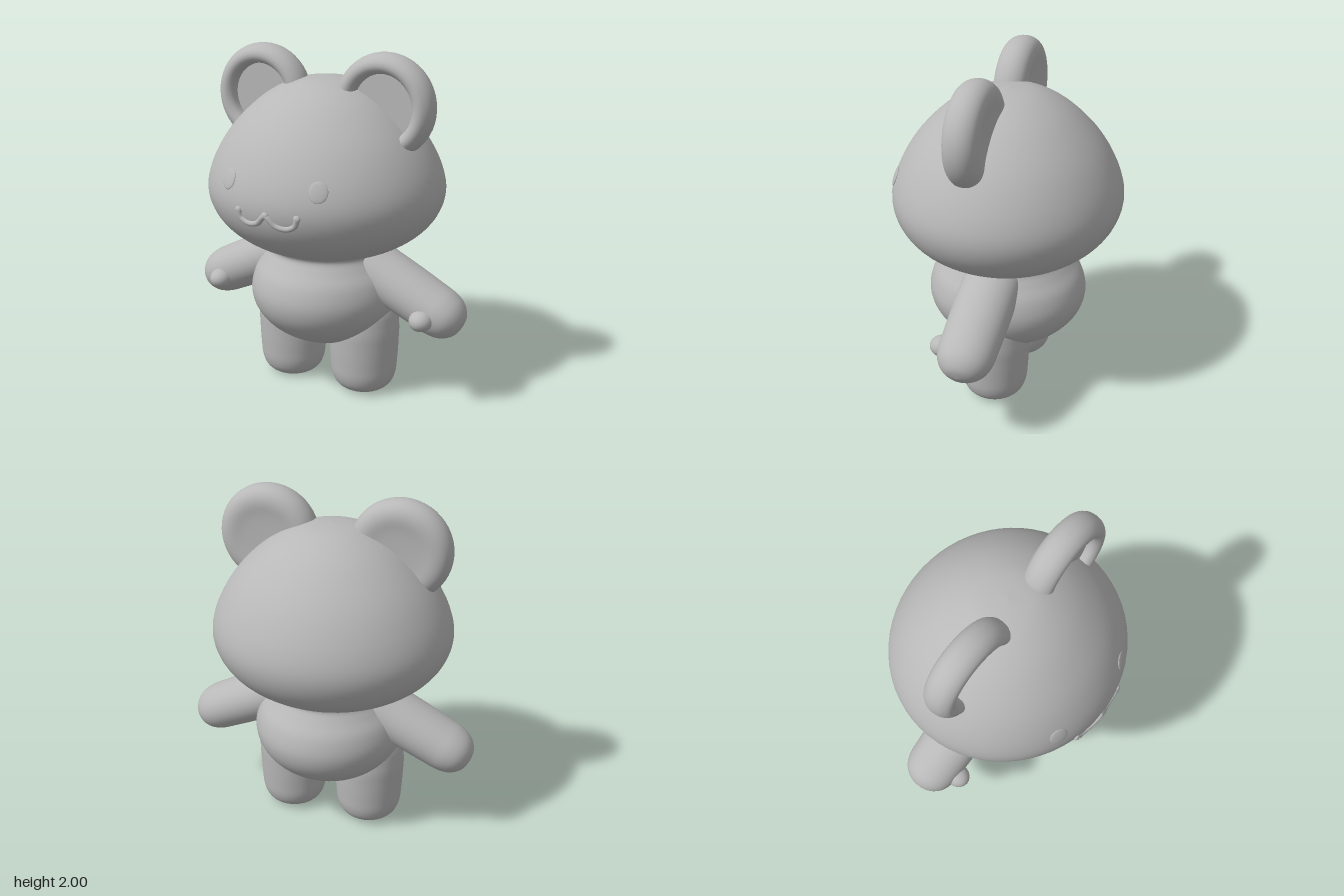
import * as THREE from 'three';

const grey = new THREE.MeshStandardMaterial({ color: 0xb8b8b8 });
grey.name = 'plain grey';

const HEAD_X = -0.01;   // head sits a touch off centre
const HEAD_SX = 1.05;   // head is slightly wider than deep

const spline = (pts) => new THREE.SplineCurve(pts.map(([r, y]) => new THREE.Vector2(r, y)));

// Smooth surface of revolution through a few [radius, height] points, listed bottom to top
function lathe(name, pts, rows = 40, segments = 48) {
  const profile = spline(pts).getPoints(rows);
  profile.forEach((p) => { p.x = Math.max(p.x, 0); });
  const mesh = new THREE.Mesh(new THREE.LatheGeometry(profile, segments), grey);
  mesh.name = name;
  return mesh;
}

const headPoints = [
  [0, 0.84], [0.2, 0.845], [0.37, 0.872], [0.52, 0.96], [0.615, 1.07], [0.655, 1.2], [0.63, 1.34],
  [0.55, 1.5], [0.44, 1.635], [0.31, 1.745], [0.16, 1.818], [0, 1.838],
];
const headSamples = spline(headPoints).getPoints(300);

// Point on the front of the head at x, y
function onFace(x, y) {
  const i = Math.max(1, headSamples.findIndex((p) => p.y >= y));
  const a = headSamples[i - 1], b = headSamples[i];
  const r = a.x + (b.x - a.x) * (y - a.y) / (b.y - a.y);
  return new THREE.Vector3(x + HEAD_X, y, Math.sqrt(Math.max(0, r * r - (x / HEAD_SX) ** 2)));
}

function faceNormal(x, y) {
  const e = 0.03;
  const dx = onFace(x + e, y).sub(onFace(x - e, y));
  const dy = onFace(x, y + e).sub(onFace(x, y - e));
  return dx.cross(dy).normalize();
}

function ball(name, position, rx, ry, rz) {
  const mesh = new THREE.Mesh(new THREE.SphereGeometry(1, 24, 16), grey);
  mesh.name = name;
  mesh.scale.set(rx, ry, rz);
  mesh.position.copy(position);
  return mesh;
}

// Round ear with a thick rim and a hollow front
function makeEar(side) {
  const group = new THREE.Group();
  group.name = side > 0 ? 'leftEar' : 'rightEar';
  const shell = lathe('earShell', [
    [0, -0.035], [0.12, -0.038], [0.2, -0.045], [0.25, -0.03], [0.28, 0.005], [0.29, 0.05],
    [0.28, 0.1], [0.25, 0.135], [0.215, 0.14], [0.185, 0.115], [0.178, 0.07],
  ]);
  const hollow = new THREE.Mesh(new THREE.CircleGeometry(0.185, 40), grey);
  hollow.name = 'earHollow';
  hollow.position.z = 0.075;
  shell.rotation.x = Math.PI / 2;
  group.add(shell, hollow);
  group.position.set(side * 0.383, 1.71, 0);
  return group;
}

// Stubby arm sloping outwards, with a small thumb in front
function makeArm(side) {
  const group = new THREE.Group();
  group.name = side > 0 ? 'leftArm' : 'rightArm';
  const arm = lathe('arm', [
    [0, -0.06], [0.1, -0.04], [0.145, 0.05], [0.148, 0.2], [0.147, 0.35], [0.143, 0.5], [0.138, 0.59],
    [0.115, 0.66], [0.065, 0.71], [0, 0.725],
  ]);
  arm.scale.z = 1.15;
  arm.position.set(side * 0.2, 0.81, -0.005);
  arm.quaternion.setFromUnitVectors(
    new THREE.Vector3(0, 1, 0),
    new THREE.Vector3(side * 0.9, -0.435, 0).normalize(),
  );
  const thumb = ball('thumb', new THREE.Vector3(side * 0.67, 0.555, 0.145), 0.068, 0.06, 0.078);
  group.add(arm, thumb);
  return group;
}

// Straight leg with a flat sole
function makeLeg(side) {
  const leg = lathe(side > 0 ? 'leftLeg' : 'rightLeg', [
    [0, 0], [0.06, 0], [0.115, 0.003], [0.165, 0.04], [0.19, 0.1], [0.198, 0.18], [0.204, 0.3],
    [0.204, 0.42], [0.17, 0.55], [0, 0.62],
  ]);
  leg.position.x = side * 0.243;
  return leg;
}

function makeEye(side) {
  const x = side * 0.275, y = 1.34;
  const eye = ball(side > 0 ? 'leftEye' : 'rightEye', onFace(x, y), 0.052, 0.058, 0.009);
  eye.quaternion.setFromUnitVectors(new THREE.Vector3(0, 0, 1), faceNormal(x, y));
  return eye;
}

// Two joined smile curves laid on the face
function makeMouth() {
  const group = new THREE.Group();
  group.name = 'mouth';
  const flat = spline([
    [-0.18, 1.195], [-0.165, 1.155], [-0.115, 1.133], [-0.055, 1.145], [0, 1.192],
    [0.055, 1.145], [0.115, 1.133], [0.165, 1.155], [0.18, 1.195],
  ]);
  const path = new THREE.CatmullRomCurve3(flat.getPoints(48).map((p) => onFace(p.x, p.y)));
  const line = new THREE.Mesh(new THREE.TubeGeometry(path, 80, 0.016, 10), grey);
  line.name = 'mouthLine';
  group.add(line);
  for (const side of [-1, 1]) {
    group.add(ball('mouthEnd', onFace(side * 0.18, 1.197), 0.021, 0.021, 0.014));
  }
  group.add(ball('mouthPeak', onFace(0, 1.195), 0.022, 0.02, 0.016));
  return group;
}

export function createModel() {
  const model = new THREE.Group();
  model.name = 'toyBear';

  const head = lathe('head', headPoints, 56, 64);
  head.scale.x = HEAD_SX;
  head.position.x = HEAD_X;

  const torso = lathe('torso', [
    [0, 0.265], [0.11, 0.272], [0.23, 0.315], [0.35, 0.39], [0.435, 0.49], [0.465, 0.6],
    [0.44, 0.71], [0.385, 0.79], [0.352, 0.845], [0.37, 0.885], [0.38, 0.93],
  ], 48, 64);
  torso.scale.x = 0.955;

  model.add(head, torso, makeMouth());
  for (const side of [-1, 1]) {
    model.add(makeEar(side), makeArm(side), makeLeg(side), makeEye(side));
  }
  return model;
}
